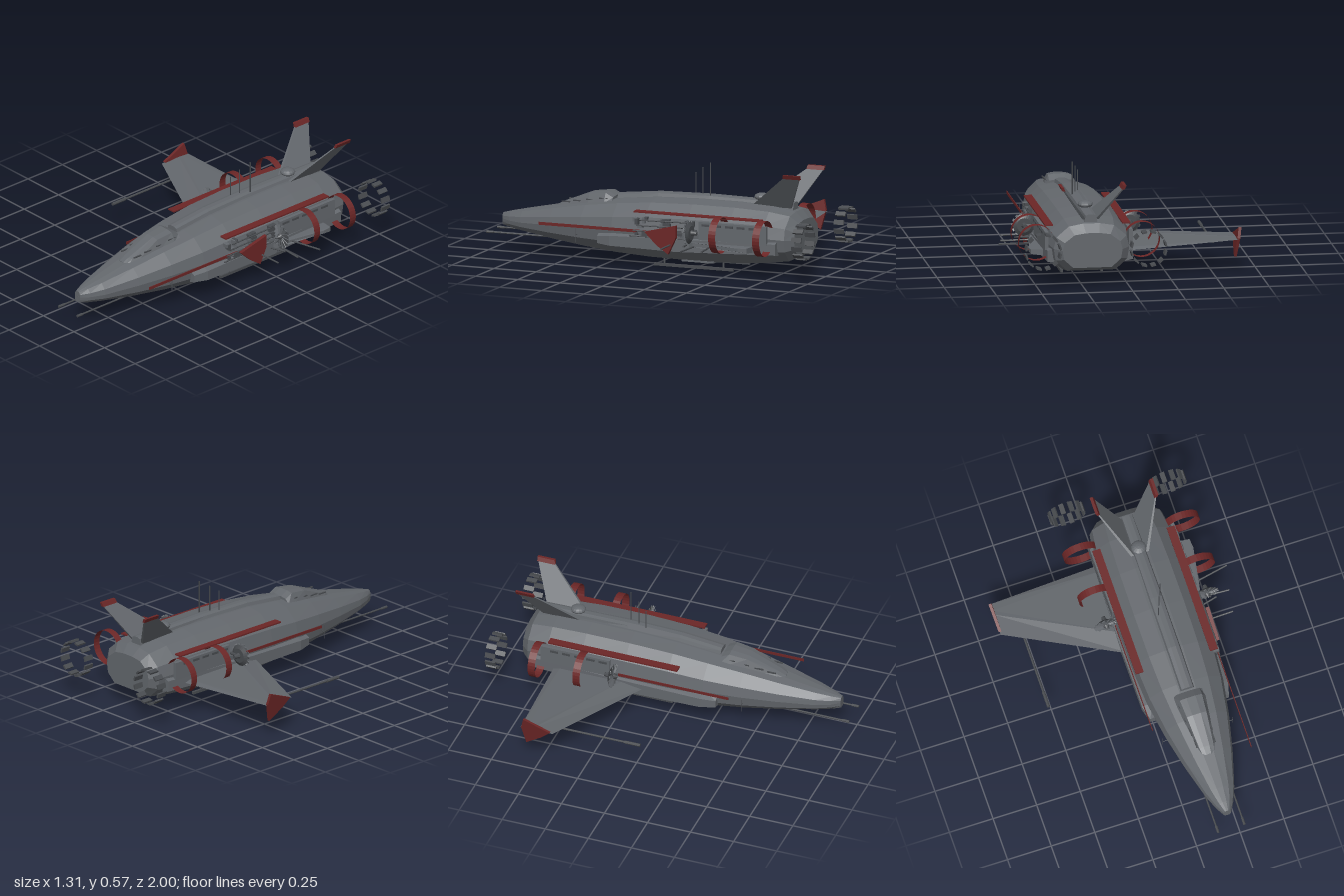
import * as THREE from 'three';

const paint = (name, color, extra = {}) => {
  const m = new THREE.MeshStandardMaterial({ color, ...extra });
  m.name = name;
  return m;
};

// Skin between rings of equal point count, capped at both ends, facing outward
function loft(rings) {
  const n = rings[0].length, tris = [];
  for (let i = 0; i + 1 < rings.length; i++)
    for (let j = 0; j < n; j++) {
      const k = (j + 1) % n, a = rings[i], b = rings[i + 1];
      tris.push([a[j], a[k], b[k]], [a[j], b[k], b[j]]);
    }
  const last = rings[rings.length - 1];
  for (let j = 1; j + 1 < n; j++)
    tris.push([rings[0][0], rings[0][j + 1], rings[0][j]], [last[0], last[j], last[j + 1]]);
  const v = (p) => new THREE.Vector3(...p);
  const volume = tris.reduce((s, t) => s + v(t[0]).dot(v(t[1]).cross(v(t[2]))), 0);
  if (volume < 0) tris.forEach((t) => t.reverse());
  const g = new THREE.BufferGeometry();
  g.setAttribute('position', new THREE.Float32BufferAttribute(tris.flat(2), 3));
  g.computeVertexNormals();
  return g;
}

export function createModel() {
  const root = new THREE.Group();
  const ship = new THREE.Group();
  ship.name = 'ship';
  ship.position.x = 0.2; // the hull lies off centre because one wing is lost
  root.add(ship);

  const hullGrey = paint('hull grey', 0x63676c, { flatShading: true });
  const darkMetal = paint('dark metal', 0x484b4f, { flatShading: true, side: THREE.DoubleSide });
  const red = paint('dark red', 0x6b2626, { flatShading: true, side: THREE.DoubleSide });

  const add = (name, geo, mat, x = 0, y = 0, z = 0) => {
    const m = new THREE.Mesh(geo, mat);
    m.name = name;
    m.position.set(x, y, z);
    ship.add(m);
    return m;
  };
  const box = (name, mat, w, h, d, x, y, z) => add(name, new THREE.BoxGeometry(w, h, d), mat, x, y, z);
  const rod = (name, mat, a, b, r, r2 = r) => {
    const p = new THREE.Vector3(...a), q = new THREE.Vector3(...b), d = q.clone().sub(p);
    const m = add(name, new THREE.CylinderGeometry(r2, r, d.length(), 8), mat);
    m.position.copy(p).add(q).multiplyScalar(0.5);
    m.quaternion.setFromUnitVectors(new THREE.Vector3(0, 1, 0), d.normalize());
    return m;
  };
  // Flat plate from [z, y] points at a given x
  const sidePlate = (name, mat, pts, x, t) => add(name, loft([-t / 2, t / 2].map((o) => pts.map(([z, y]) => [x + o, y, z]))), mat);

  // Hull: z, half width, bottom, widest height, top
  const stations = [
    [0.93, 0.022, 0.14, 0.175, 0.205], [0.88, 0.05, 0.132, 0.17, 0.218], [0.8, 0.083, 0.122, 0.17, 0.235],
    [0.6, 0.14, 0.098, 0.18, 0.275], [0.4, 0.186, 0.078, 0.19, 0.315], [0.2, 0.219, 0.062, 0.2, 0.345],
    [0, 0.233, 0.053, 0.21, 0.366], [-0.25, 0.237, 0.05, 0.215, 0.375], [-0.5, 0.234, 0.055, 0.215, 0.375],
    [-0.7, 0.225, 0.07, 0.215, 0.365], [-0.82, 0.208, 0.085, 0.21, 0.345], [-0.862, 0.165, 0.108, 0.205, 0.3],
  ];
  add('hull', loft(stations.map(([z, w, b, s, t]) => {
    const half = [[0.64, b], [0.95, b + (s - b) * 0.48], [1, s], [0.93, s + (t - s) * 0.46], [0.6, s + (t - s) * 0.9], [0.22, t]];
    return [...half.map(([k, y]) => [k * w, y, z]), ...half.reverse().map(([k, y]) => [-k * w, y, z])];
  })), hullGrey);
  const noseCap = add('noseCap', new THREE.SphereGeometry(0.02, 10, 8), hullGrey, 0, 0.175, 0.915);
  noseCap.scale.set(1, 1.6, 0.8);

  // Canopy and spine
  const arch = (z, w, y0, y1) => [[w, y0, z], [w * 0.72, y1 - 0.006, z], [w * 0.3, y1, z], [-w * 0.3, y1, z], [-w * 0.72, y1 - 0.006, z], [-w, y0, z]];
  add('canopy', loft([arch(0.61, 0.045, 0.255, 0.275), arch(0.57, 0.056, 0.26, 0.295), arch(0.4, 0.078, 0.295, 0.362),
    arch(0.3, 0.088, 0.315, 0.375), arch(0.255, 0.09, 0.32, 0.352)]), hullGrey);
  for (const z of [0.54, 0.47, 0.39, 0.31])
    for (const s of [-1, 1]) box('canopyFrame', darkMetal, 0.008, 0.006, 0.05, s * (0.098 - z * 0.085), 0.388 - z * 0.16, z);
  add('spine', loft([arch(0.24, 0.045, 0.32, 0.365), arch(0, 0.045, 0.35, 0.39), arch(-0.3, 0.045, 0.36, 0.397),
    arch(-0.8, 0.04, 0.33, 0.39)]), hullGrey);

  // Dome and aerials behind the cockpit
  const dome = add('sensorDome', new THREE.SphereGeometry(0.042, 14, 8), hullGrey, 0, 0.405, -0.6);
  dome.scale.y = 0.5;
  [[-0.02, 0.505, -0.2], [0, 0.54, -0.25], [0.025, 0.575, -0.305]].forEach(([x, y, z]) =>
    rod('aerial', darkMetal, [x, 0.38, z], [x, y, z], 0.003));

  for (const s of [-1, 1]) {
    // Tail fins with red caps
    const finRing = (x, y, z0, z1, t) => [[s * (x - t), y, z0], [s * (x + t), y, z0], [s * (x + t), y, z1], [s * (x - t), y, z1]];
    add('tailFin', loft([finRing(0.035, 0.36, -0.56, -0.79, 0.009), finRing(0.165, 0.55, -0.8, -0.895, 0.004)]), hullGrey);
    add('tailFinCap', loft([finRing(0.163, 0.545, -0.795, -0.898, 0.008), finRing(0.173, 0.567, -0.8, -0.9, 0.008)]), red);

    // Side fairing
    const fair = (z, x0, x1, y0, y1) => [[s * x0, y0, z], [s * x1, y0 + 0.01, z], [s * x1, y1 - 0.02, z], [s * x0, y1, z]];
    add('sideFairing', loft([fair(0.28, 0.19, 0.225, 0.11, 0.18), fair(0.2, 0.19, 0.247, 0.105, 0.19),
      fair(-0.2, 0.2, 0.25, 0.1, 0.2), fair(-0.78, 0.19, 0.235, 0.12, 0.21)]), hullGrey);
    rod('sidePin', darkMetal, [s * 0.2, 0.11, 0.42], [s * 0.2, 0.19, 0.42], 0.002);
    rod('sidePinArm', darkMetal, [s * 0.16, 0.15, 0.42], [s * 0.2, 0.15, 0.42], 0.002);

    // Red trim: upper strip and the long plate standing off the side
    box('upperStrip', red, 0.045, 0.008, 0.75, s * 0.213, 0.312, -0.315);
    const front = s > 0 ? 0.62 : 0.36;
    box('sideStrip', red, 0.004, 0.016, 0.64, s * 0.24, 0.207, front - 0.32);

    // Bare engine mount panel
    box('mountPanel', hullGrey, 0.02, 0.1, 0.4, s * 0.232, 0.235, -0.53);
    for (let i = 0; i < 5; i++) box('mountSlot', darkMetal, 0.006, 0.012, 0.045, s * 0.244, 0.268, -0.37 - i * 0.07);

    // Stripped engine: fan, two hoops and a broken ring of nozzle petals
    const ex = s * 0.29, ey = 0.23;
    const hub = add('fanHub', new THREE.ConeGeometry(0.022, 0.03, 12), darkMetal, ex, ey, -0.275);
    hub.rotation.x = Math.PI / 2;
    const back = add('fanDisc', new THREE.CylinderGeometry(0.06, 0.04, 0.012, 24), darkMetal, ex, ey, -0.302);
    back.rotation.x = Math.PI / 2;
    for (let i = 0; i < 14; i++) {
      const a = i * Math.PI / 7;
      const blade = add('fanBlade', new THREE.BoxGeometry(0.05, 0.016, 0.004), hullGrey, ex + Math.cos(a) * 0.042, ey + Math.sin(a) * 0.042, -0.289);
      blade.rotation.set(0, 0, a);
      blade.rotateX(0.5);
    }
    rod('fanShaft', darkMetal, [ex, ey, -0.3], [ex, ey, -0.34], 0.018, 0.01);
    rod('fanBracket', darkMetal, [ex, ey, -0.31], [s * 0.22, ey, -0.31], 0.008);
    for (const z of [-0.47, -0.73]) {
      const hoop = add('engineHoop', new THREE.CylinderGeometry(0.098, 0.098, 0.042, 32, 1, true), red, ex, ey, z);
      hoop.rotation.x = Math.PI / 2;
    }
    for (let i = 0; i < 12; i++) {
      const a = (i + 0.5) * Math.PI / 6;
      const petal = box('nozzlePetal', darkMetal, 0.01, 0.027, 0.058, ex + Math.cos(a) * 0.095, ey + Math.sin(a) * 0.095, -0.97);
      petal.rotation.z = a;
    }

    // Nose guns
    rod('noseGun', darkMetal, [s * 0.075, 0.105, 0.5], [s * 0.075, 0.105, 1], 0.005);
    rod('noseGunMuzzle', darkMetal, [s * 0.075, 0.105, 0.96], [s * 0.075, 0.105, 1], 0.0075);

    // Landing skids
    const sx = s * 0.11;
    box('skid', darkMetal, 0.014, 0.015, 0.47, sx, 0.0075, -0.245);
    for (const z of [-0.07, -0.42]) rod('skidStrut', darkMetal, [sx, 0.01, z], [sx, 0.06, z], 0.006);
    box('skidMount', hullGrey, 0.095, 0.01, 0.19, sx, 0.048, -0.285);
  }

  // Intact wing with its gun
  const wingRing = (x, y, z0, z1, t) => [[x, y, z0], [x, y + t, z0 - 0.12], [x, y + t * 0.6, z1 + 0.04], [x, y, z1], [x, y - t, z0 - 0.12]];
  add('wing', loft([wingRing(-0.19, 0.148, -0.11, -0.66, 0.02), wingRing(-0.845, 0.18, -0.435, -0.62, 0.005)]), hullGrey);
  rod('wingGun', darkMetal, [-0.725, 0.14, -0.48], [-0.725, 0.14, 0.03], 0.006);
  rod('wingGunMuzzle', darkMetal, [-0.725, 0.14, -0.06], [-0.725, 0.14, 0.03], 0.009);
  rod('wingGunMount', darkMetal, [-0.725, 0.14, -0.45], [-0.725, 0.17, -0.48], 0.008);

  // Winglet leaning inward toward its foot
  const wingletShape = [[-0.45, 0.185], [-0.6, 0.245], [-0.615, 0.185], [-0.59, 0.08], [-0.5, 0.14]];
  add('winglet', loft([-0.01, 0.006].map((o) => wingletShape.map(([z, y]) => [-0.838 + o - (y - 0.16) * 0.15, y, z]))), red);

  // Torn wing stub with bare spars
  add('wingStub', loft([
    [[0.2, 0.17, -0.18], [0.2, 0.17, -0.65], [0.2, 0.13, -0.65], [0.2, 0.13, -0.18]],
    [[0.26, 0.17, -0.3], [0.305, 0.17, -0.64], [0.305, 0.145, -0.64], [0.26, 0.145, -0.3]],
    [[0.265, 0.165, -0.4], [0.31, 0.168, -0.59], [0.31, 0.15, -0.59], [0.265, 0.15, -0.4]],
  ]), hullGrey);
  [[-0.39, 0.45, 0.16, -0.435], [-0.31, 0.42, 0.148, -0.3], [-0.17, 0.4, 0.15, -0.175], [-0.25, 0.34, 0.16, -0.28]].forEach(([z0, x, y, z1]) =>
    rod('wingSpar', darkMetal, [0.21, 0.15, z0], [x, y, z1], 0.005));

  // Winglet fragment lodged in the side
  sidePlate('lodgedWinglet', red, [[-0.02, 0.212], [-0.205, 0.258], [-0.205, 0.19], [-0.16, 0.097], [-0.09, 0.145]], 0.262, 0.02);

  // Exposed machinery on the damaged side
  let seed = 7;
  const rnd = () => (seed = (seed * 16807) % 2147483647) / 2147483647;
  for (let i = 0; i < 26; i++)
    box('exposedMachinery', i % 3 ? darkMetal : hullGrey, 0.025 + rnd() * 0.02, 0.01 + rnd() * 0.025, 0.015 + rnd() * 0.04,
      0.226, 0.165 + rnd() * 0.115, 0.07 - rnd() * 0.38);
  for (let i = 0; i < 4; i++)
    rod('exposedPipe', darkMetal, [0.245, 0.18 + i * 0.03, 0.08 - i * 0.02], [0.245, 0.185 + i * 0.03, -0.28], 0.004);

  return root;
}
